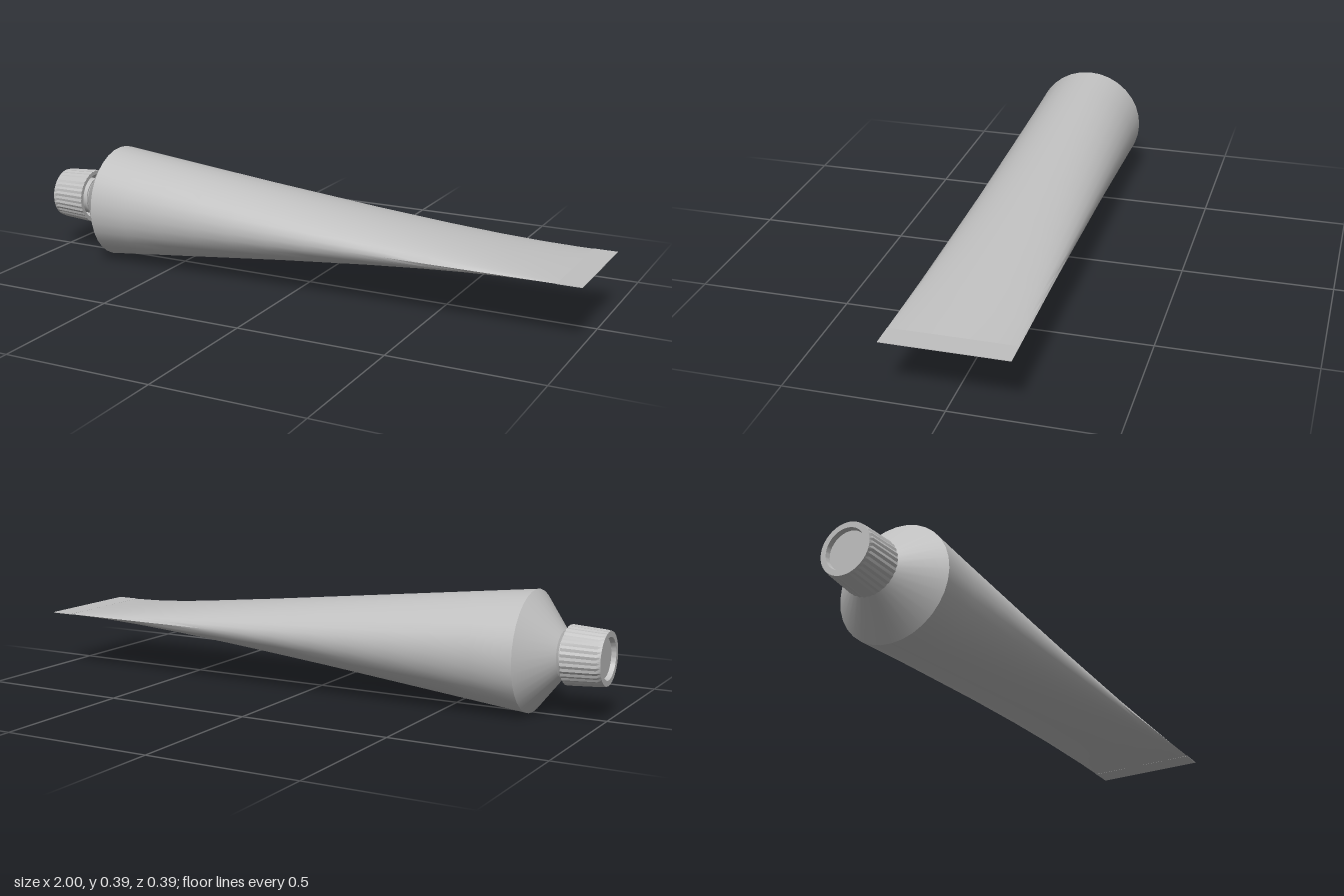
import * as THREE from 'three';
import { toCreasedNormals } from 'three/addons/utils/BufferGeometryUtils.js';

const AXIS_Y = 0.197; // height of the tube's long axis
const RADIUS = 0.195;
const SHOULDER_X = -0.76;
const CRIMP_X = 0.92;
const SIDES = 32;

export function createModel() {
  const group = new THREE.Group();
  group.name = 'squeezeTube';
  const grey = new THREE.MeshStandardMaterial({ color: 0xc0c0c0, side: THREE.DoubleSide });
  grey.name = 'light grey';

  const add = (name, geometry) => {
    const mesh = new THREE.Mesh(geometry, grey);
    mesh.name = name;
    mesh.position.y = AXIS_Y;
    group.add(mesh);
  };

  // Turned part along x from [x, radius] pairs
  const turned = (profile, sides) => {
    const points = profile.map(([x, r]) => new THREE.Vector2(r, x));
    return new THREE.LatheGeometry(points, sides).rotateZ(-Math.PI / 2);
  };

  // Body: a round tube squeezed steadily to a flat end
  const length = CRIMP_X - SHOULDER_X;
  const body = new THREE.CylinderGeometry(RADIUS, RADIUS, length, SIDES, 12, true);
  body.rotateZ(-Math.PI / 2).translate((CRIMP_X + SHOULDER_X) / 2, 0, 0);
  const p = body.attributes.position;
  for (let i = 0; i < p.count; i++) {
    const t = (p.getX(i) - SHOULDER_X) / length;
    p.setY(i, p.getY(i) * Math.max(1 - t, 0.004));
  }
  add('body', toCreasedNormals(body, 0.6));

  // Flat sealed end
  add('crimpedEnd', new THREE.BoxGeometry(1 - CRIMP_X, 0.002, RADIUS * 2).translate((1 + CRIMP_X) / 2, 0, 0));

  // Conical shoulder
  add('shoulder', turned([[-0.857, 0.075], [SHOULDER_X, RADIUS]], SIDES));

  // Neck with a small collar
  add('neck', toCreasedNormals(turned([
    [-0.96, 0.064], [-0.872, 0.064], [-0.872, 0.07], [-0.866, 0.07],
    [-0.866, 0.066], [-0.861, 0.066], [-0.857, 0.075],
  ], SIDES), 0.5));

  // Cap with a recessed end and fine grip ribs on its side
  const cap = turned([
    [-0.985, 0], [-0.985, 0.064], [-1, 0.067], [-1, 0.085], [-0.985, 0.088],
    [-0.874, 0.095], [-0.874, 0.08], [-0.95, 0.075],
  ], 64);
  const c = cap.attributes.position;
  for (let i = 0; i < c.count; i++) {
    const r = Math.hypot(c.getY(i), c.getZ(i));
    const rib = Math.floor(i / 8) % 2;
    if (r > 0.086 && rib) {
      const s = (r - 0.0025) / r;
      c.setY(i, c.getY(i) * s);
      c.setZ(i, c.getZ(i) * s);
    }
  }
  add('cap', toCreasedNormals(cap, 0.25));

  return group;
}
